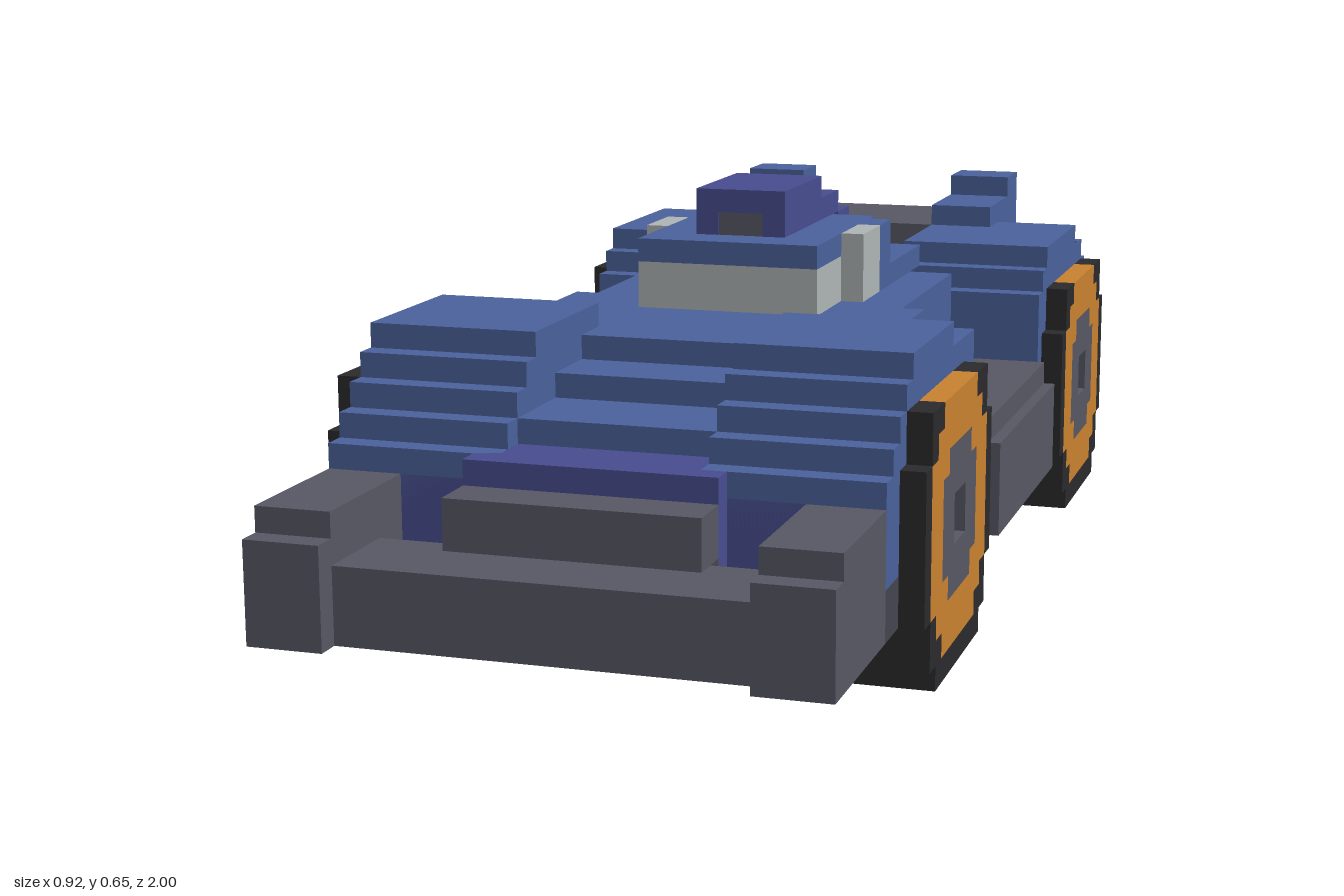
import * as THREE from 'three';
import { mergeGeometries } from 'three/addons/utils/BufferGeometryUtils.js';

const U = 1 / 26; // one voxel
const mat = (color) => new THREE.MeshStandardMaterial({ color, flatShading: true });
const blue = mat(0x4a629c), violet = mat(0x484d90), grey = mat(0x585865), dark = mat(0x2b2b2d);
const orange = mat(0xc9822f), glass = mat(0xb0b5b6), under = mat(0x45454f);

// Box from voxel limits: [x0, x1, y0, y1, z0, z1]
function vox([x0, x1, y0, y1, z0, z1]) {
  const g = new THREE.BoxGeometry((x1 - x0) * U, (y1 - y0) * U, (z1 - z0) * U);
  return g.translate((x0 + x1) / 2 * U, (y0 + y1) / 2 * U, (z0 + z1) / 2 * U);
}

const flip = ([x0, x1, ...rest]) => [-x1, -x0, ...rest];

export function createModel() {
  const car = new THREE.Group();
  car.name = 'car';

  const part = (name, material, boxes) => {
    const mesh = new THREE.Mesh(mergeGeometries(boxes.map(vox)), material);
    mesh.name = name;
    car.add(mesh);
  };
  const pair = (name, material, boxes) => {
    part(name + 'Left', material, boxes);
    part(name + 'Right', material, boxes.map(flip));
  };

  // Chassis plate and front bumper
  part('chassis', under, [
    [-7, 7, 3, 5, -25.9, 19], [-5, 5, 3, 6, 19, 21],
    [-11, 11, 3, 5, -11, 4], [-11, 11, 3, 5, 17, 19], [-11, 11, 3, 5, -25, -24],
  ]);
  part('frontBumper', grey, [[-8, 8, 3, 6, 21, 25], [-5, 5, 6, 8, 20, 22]]);
  pair('bumperArm', grey, [[8, 11, 3, 8, 19, 25], [8, 11, 3, 7, 25, 26]]);
  pair('sideSkirt', grey, [[7, 12, 3, 7, -10, 3], [7, 11.5, 7, 8, -10, 3]]);

  // Central body, hood steps and rear deck
  part('body', blue, [[-7, 7, 5, 12, -10, 6], [-6, 6, 5, 11.5, -12, -10]]);
  part('hood', blue, [
    [-4, 4, 5, 12, 6, 10], [-4, 4, 5, 11, 10, 13], [-4, 4, 5, 10, 13, 17],
  ]);
  part('nose', violet, [[-5, 5, 5, 9, 17, 20], [-8, 8, 5, 8, 17, 19]]);
  part('rearDeck', violet, [[-4, 4, 5, 11, -19, -12]]);
  part('deckSteps', blue, [[-4, 4, 11, 12, -15, -10], [-5, 5, 12, 13, -12, -6]]);
  pair('sideShoulder', blue, [[6, 11, 5, 12, 4, 6], [7, 8, 9, 12, 0, 3]]);

  // Fenders: stacked slabs, each row [y0, y1, z0, z1]
  const fender = (name, rows) => pair(name, blue, rows.map((r) => [4, 11, ...r]));
  fender('frontFender', [
    [5, 9, 6, 19], [9, 10, 6, 18], [10, 11, 6, 17], [11, 12, 6, 16], [12, 13, 8, 15],
  ]);
  fender('rearFender', [
    [5, 9, -25, -11], [9, 10, -25, -11], [10, 11, -24, -11], [11, 12, -23, -12], [12, 13, -21, -13],
  ]);

  // Cockpit
  part('windscreen', glass, [[-4, 4, 12, 14, -1, 3]]);
  pair('sideWindow', glass, [[4, 5, 12, 15, -4, -1]]);
  part('cabin', blue, [
    [-4, 4, 14, 15, -7, 3], [-4, 4, 12, 14, -7, -1],
    [-5, 5, 12, 15, -6, -4], [-4, 4, 13, 14, -10, -7],
  ]);
  part('roofScoop', violet, [
    [-2, 2, 15, 17, -5, 0.8], [-2, 2, 16, 17, 0.8, 1], [-2, 2, 15, 16, -8, -5],
    [-2, 2, 14, 15, -10, -8], [-1, 1, 13, 14, -12, -10], [-1, 1, 12, 13, -15, -12], [-1, 1, 11, 12, -18, -15],
  ]);
  pair('scoopRim', violet, [[1, 2, 15, 16, 0.8, 1]]);
  part('scoopOpening', grey, [[-1, 1, 15, 16, 0.8, 0.95]]);

  // Tail with raised pillars, grey spoiler and open slot
  pair('tailPillar', blue, [[4, 7, 4, 14, -26, -19], [4, 7, 14, 15, -26, -23.5]]);
  part('tailPanel', blue, [[-4, 4, 4, 8, -26, -19]]);
  part('tailSlotBack', violet, [[-4, 4, 8, 11, -22, -19]]);
  part('spoiler', grey, [[-4, 4, 11.5, 13, -26, -19]]);
  part('tailSill', grey, [[-7, 7, 3, 4, -26, -25.9]]);

  // Wheels: stepped discs, half widths listed per row from the bottom up
  const tyre = [4, 5, 5, 6, 6, 6, 6, 6, 6, 5, 5, 4];
  const rim = [0, 3, 4, 5, 5, 5, 5, 5, 5, 4, 3, 0];
  const hub = [0, 0, 0, 2, 3, 3, 3, 3, 2, 0, 0, 0];
  const hole = [0, 0, 0, 0, 0, 1, 1, 0, 0, 0, 0, 0];
  const rows = (outer, inner, x0, x1, z, top = 12) => outer.flatMap((w, y) => {
    const i = inner[y];
    if (w <= i || y >= top) return [];
    return i === 0 ? [[x0, x1, y, y + 1, z - w, z + w]]
      : [[x0, x1, y, y + 1, z - w, z - i], [x0, x1, y, y + 1, z + i, z + w]];
  });
  const none = tyre.map(() => 0);
  for (const [label, z] of [['front', 11], ['rear', -18]]) {
    pair(label + 'Tyre', dark, [
      ...rows(tyre, none, 5, 10.95, z), ...rows(tyre, rim, 10.95, 12, z, 11),
    ]);
    pair(label + 'Rim', orange, rows(rim, hub, 10.95, 12, z));
    pair(label + 'Hub', grey, rows(hub, hole, 10.95, 12, z));
    pair(label + 'Axle', under, rows(hole, none, 10.95, 11.2, z));
  }
  return car;
}
